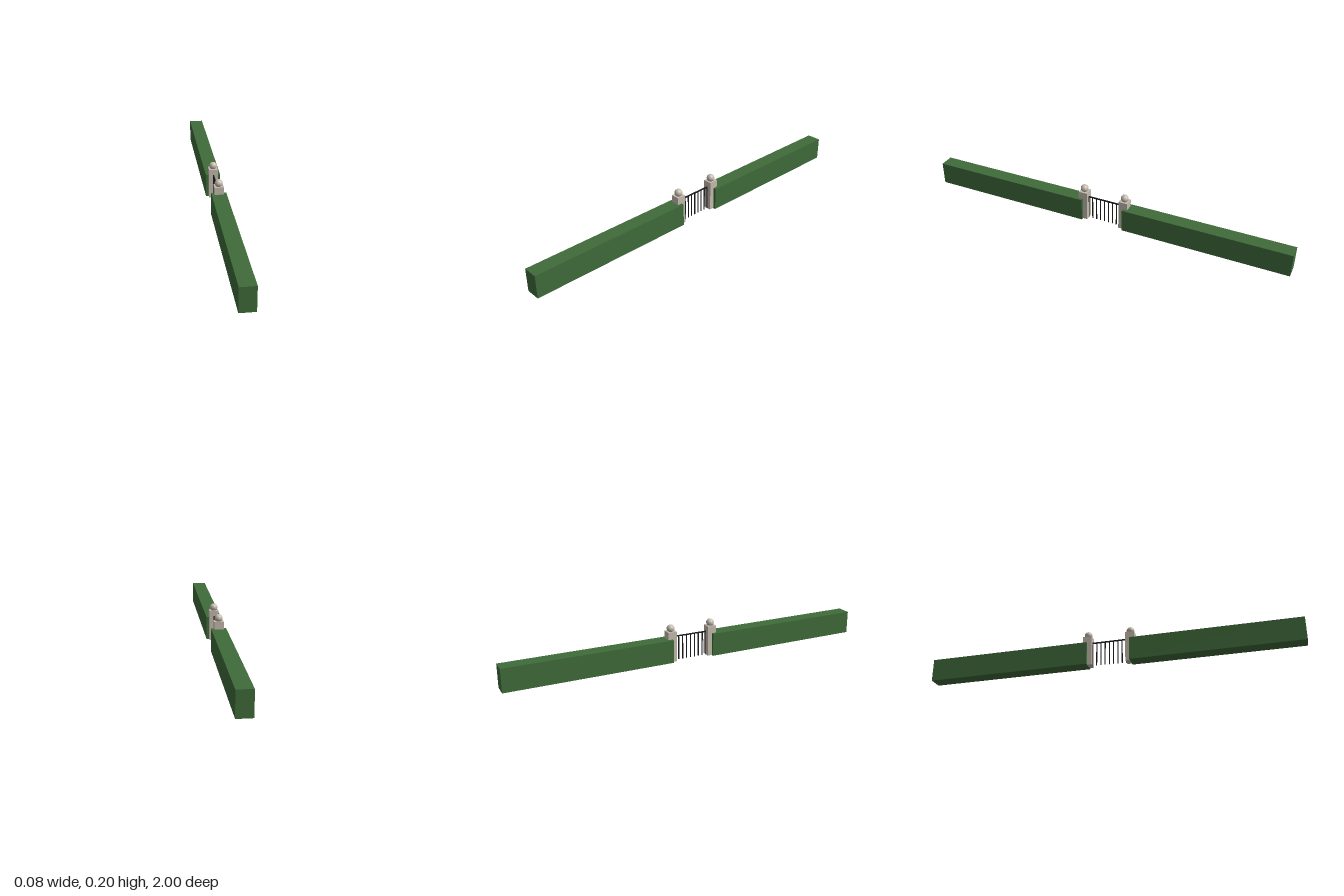
import * as THREE from 'three';

const hedgeMat = new THREE.MeshStandardMaterial({ color: 0x3f6b3a });
const stoneMat = new THREE.MeshStandardMaterial({ color: 0xc4bbae });
const ironMat = new THREE.MeshStandardMaterial({ color: 0x1c1c20 });

function add(parent, name, geometry, material, x, y, z) {
  const mesh = new THREE.Mesh(geometry, material);
  mesh.name = name;
  mesh.position.set(x, y, z);
  parent.add(mesh);
  return mesh;
}

export function createModel() {
  const model = new THREE.Group();
  model.name = 'hedgeWithGate';

  const opening = 0.115; // half the gap between the hedges
  const hedgeLength = 1 - opening;
  const hedgeGeo = new THREE.BoxGeometry(0.077, 0.123, hedgeLength);
  const pillarGeo = new THREE.BoxGeometry(0.048, 0.162, 0.048);
  const ballGeo = new THREE.SphereGeometry(0.0205, 24, 16);

  // Hedge, stone pillar and ball finial on each side of the gate
  for (const side of [1, -1]) {
    const end = side > 0 ? 'front' : 'back';
    add(model, end + 'Hedge', hedgeGeo, hedgeMat, 0, 0.0615, side * (opening + hedgeLength / 2));
    add(model, end + 'Pillar', pillarGeo, stoneMat, 0, 0.081, side * opening);
    add(model, end + 'BallFinial', ballGeo, stoneMat, 0, 0.177, side * opening);
  }

  // Iron gate: upright bars under a single top rail
  const gate = new THREE.Group();
  gate.name = 'gate';
  model.add(gate);
  const barGeo = new THREE.BoxGeometry(0.0046, 0.13, 0.0046);
  for (let i = -4; i <= 4; i++) add(gate, 'gateBar', barGeo, ironMat, 0, 0.065, i * 0.023);
  add(gate, 'topRail', new THREE.BoxGeometry(0.006, 0.006, 0.186), ironMat, 0, 0.13, 0);

  return model;
}
